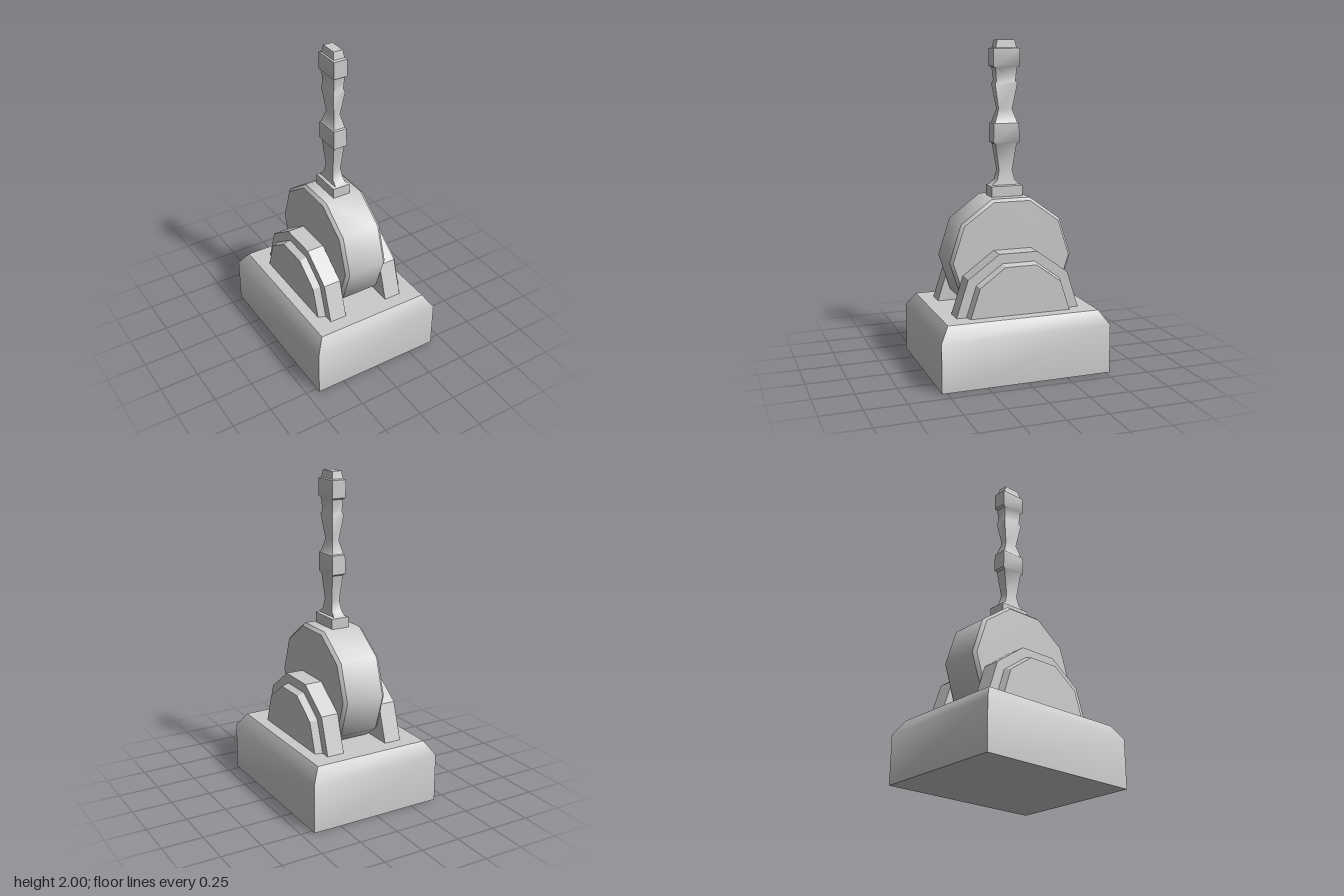
import * as THREE from 'three';
import { toCreasedNormals } from 'three/addons/utils/BufferGeometryUtils.js';

const material = new THREE.MeshStandardMaterial({ color: 0xcccccc });

// Skin a stack of matching rings and close both ends
function loft(name, rings, crease = 0.7) {
  const pos = [];
  const tri = (...pts) => pts.forEach((p) => pos.push(...p));
  const n = rings[0].length;
  for (let i = 0; i < rings.length - 1; i++) {
    for (let j = 0; j < n; j++) {
      const k = (j + 1) % n;
      const [lo, hi] = [rings[i], rings[i + 1]];
      tri(lo[j], lo[k], hi[k]);
      tri(lo[j], hi[k], hi[j]);
    }
  }
  const first = rings[0], last = rings[rings.length - 1];
  for (let j = 1; j < n - 1; j++) {
    tri(first[0], first[j + 1], first[j]);
    tri(last[0], last[j], last[j + 1]);
  }
  const geometry = new THREE.BufferGeometry();
  geometry.setAttribute('position', new THREE.Float32BufferAttribute(pos, 3));
  const mesh = new THREE.Mesh(toCreasedNormals(geometry, crease), material);
  mesh.name = name;
  return mesh;
}

// Rectangular ring at height y with half sizes hx, hz
const rect = ([y, hx, hz]) => [[hx, y, hz], [hx, y, -hz], [-hx, y, -hz], [-hx, y, hz]];

// Ring of 36 degree steps around the x axis: count 10 = full decagon, 6 = upper half
const arc = (x, cy, r, count) => Array.from({ length: count }, (_, i) => {
  const a = (i * Math.PI) / 5;
  return [x, cy + r * Math.sin(a), -r * Math.cos(a)];
});

export function createModel() {
  const model = new THREE.Group();
  model.name = 'lever';

  // Chamfered block
  model.add(loft('base', [[0, 0.425, 0.53], [0.3, 0.425, 0.53], [0.385, 0.37, 0.475]].map(rect)));

  // Ten-sided wheel with bevelled rims
  const wheel = [[-0.142, 0.372], [-0.122, 0.39], [0.122, 0.39], [0.142, 0.372]];
  model.add(loft('wheel', wheel.map(([x, r]) => arc(x, 0.69, r, 10))));

  // Half-round cheeks and tapered caps on both sides
  for (const side of [1, -1]) {
    const name = side > 0 ? 'left' : 'right';
    const slab = (part, sections) => {
      const rings = sections.map(([x, r]) => arc(side * x, 0.382, r, 6));
      if (side < 0) rings.reverse();
      model.add(loft(name + part, rings, 0.6));
    };
    slab('Cheek', [[0.146, 0.39], [0.255, 0.39]]);
    slab('Cap', [[0.25, 0.33], [0.3, 0.315]]);
  }

  // Handle: height, half width, half depth
  const handle = [
    [1.04, 0.057, 0.1], [1.125, 0.057, 0.1], [1.13, 0.038, 0.09],
    [1.16, 0.034, 0.055], [1.22, 0.026, 0.042], [1.38, 0.036, 0.068],
    [1.39, 0.044, 0.083], [1.505, 0.044, 0.08], [1.51, 0.038, 0.07],
    [1.59, 0.021, 0.043], [1.74, 0.039, 0.07], [1.76, 0.032, 0.06],
    [1.835, 0.036, 0.068], [1.845, 0.044, 0.083], [1.95, 0.044, 0.083],
    [1.955, 0.036, 0.066], [2.0, 0.03, 0.055],
  ];
  model.add(loft('handle', handle.map(rect)));

  return model;
}
